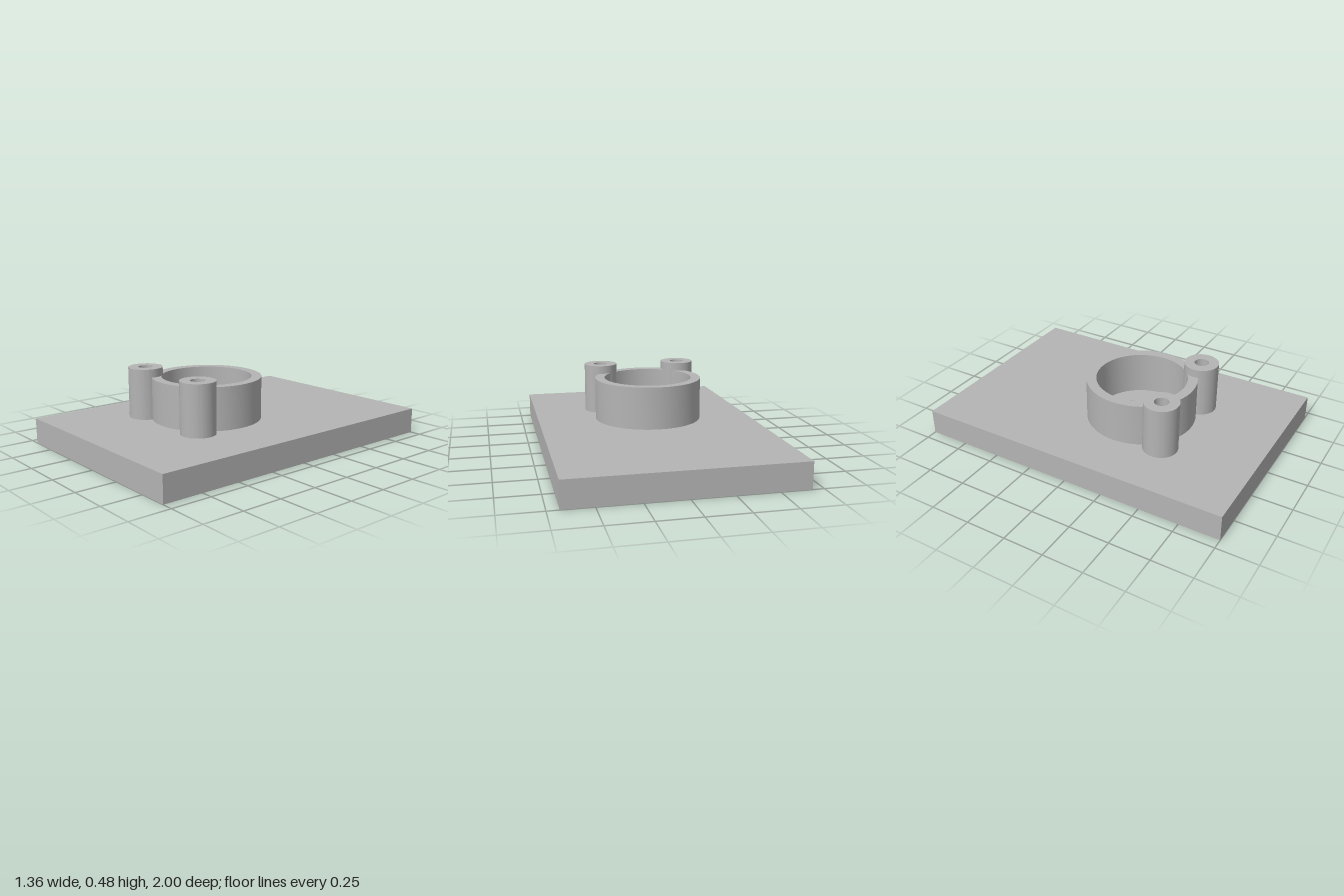
import * as THREE from 'three';
import { toCreasedNormals } from 'three/addons/utils/BufferGeometryUtils.js';

const PLATE_TOP = 0.16;
const CENTRE = { x: -0.03, z: 0.155 };
const HOLE_R = 0.044;

function circle(Type, x, z, r) {
  return new Type().absarc(x, -z, r, 0, Math.PI * 2, false);
}

// Extrudes a plan outline (x, -z) upward from y0 to y1
function raise(name, shape, y0, y1, material) {
  const geo = new THREE.ExtrudeGeometry(shape, {
    depth: y1 - y0, bevelEnabled: false, curveSegments: 32,
  });
  geo.rotateX(-Math.PI / 2).translate(0, y0, 0);
  const mesh = new THREE.Mesh(toCreasedNormals(geo, 0.6), material);
  mesh.name = name;
  return mesh;
}

// Upright tube
function tube(name, x, z, outer, inner, top, material) {
  const shape = circle(THREE.Shape, x, z, outer);
  shape.holes.push(circle(THREE.Path, x, z, inner));
  return raise(name, shape, PLATE_TOP, top, material);
}

export function createModel() {
  const group = new THREE.Group();
  group.name = 'mountingPlate';
  const grey = new THREE.MeshStandardMaterial({ color: 0xb4b4b4 });
  grey.name = 'grey';

  // Base plate with a centre hole and six holes around it
  const plate = new THREE.Shape([
    new THREE.Vector2(-0.682, -1), new THREE.Vector2(0.682, -1),
    new THREE.Vector2(0.682, 1), new THREE.Vector2(-0.682, 1),
  ]);
  plate.holes.push(circle(THREE.Path, CENTRE.x, CENTRE.z, HOLE_R));
  for (let i = 0; i < 6; i++) {
    const a = (i * Math.PI) / 3;
    plate.holes.push(circle(THREE.Path,
      CENTRE.x + 0.126 * Math.cos(a), CENTRE.z + 0.126 * Math.sin(a), HOLE_R));
  }
  group.add(raise('basePlate', plate, 0, PLATE_TOP, grey));

  // Round collar
  group.add(tube('collar', CENTRE.x, CENTRE.z, 0.341, 0.28, 0.425, grey));

  // Two screw posts at the front of the collar
  for (const [name, side] of [['leftPost', 1], ['rightPost', -1]]) {
    group.add(tube(name, CENTRE.x + side * 0.265, 0.43, 0.107, HOLE_R, 0.476, grey));
  }
  return group;
}
